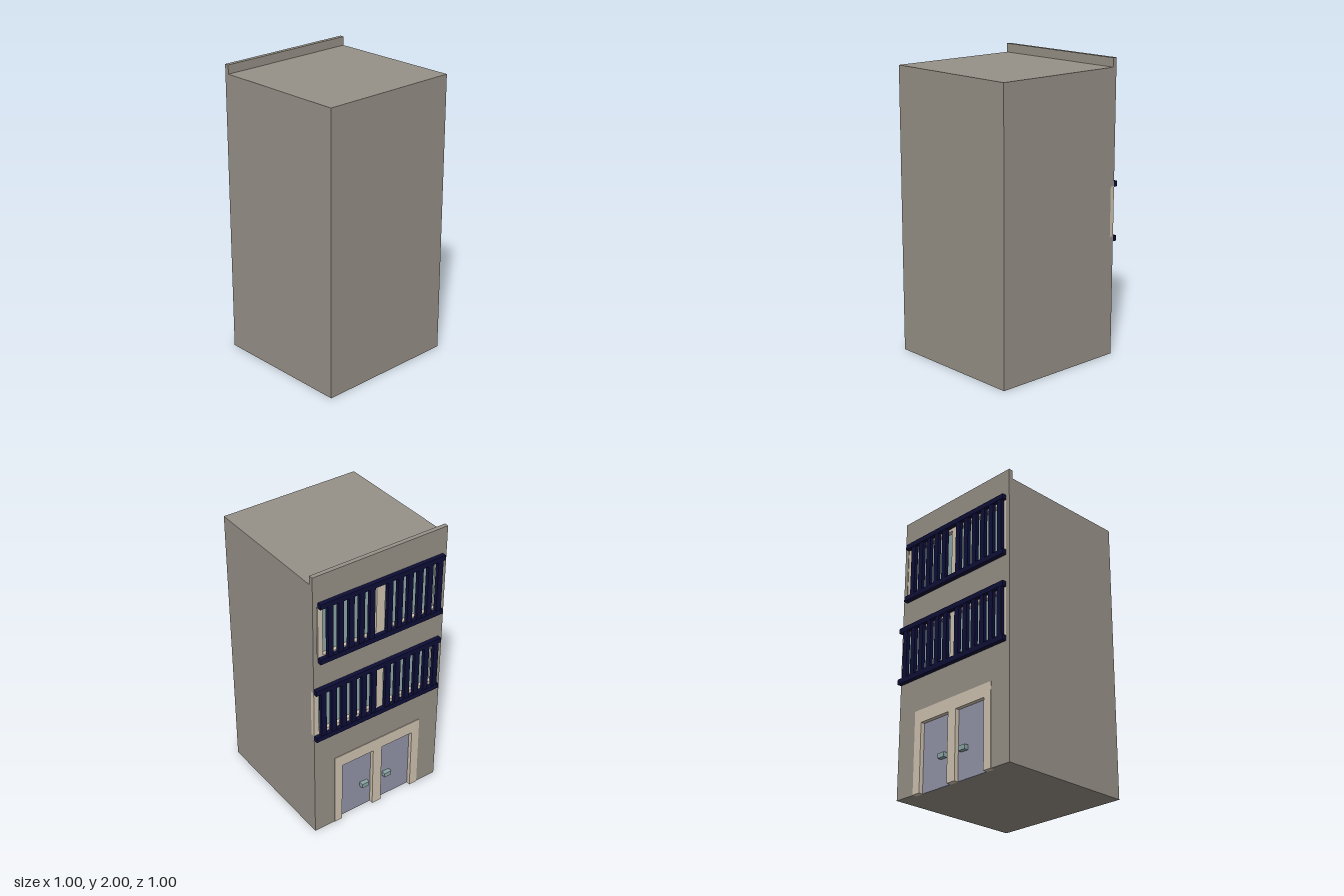
import * as THREE from 'three';

const BACK = -0.44;   // plane behind the facade slab
const FACE = -0.47;   // outer facade plane

function material(name, color) {
  const m = new THREE.MeshStandardMaterial({ color });
  m.name = name;
  return m;
}

const polygon = (pts, Type = THREE.Shape) => new Type(pts.map(([x, y]) => new THREE.Vector2(x, y)));
const rect = (x0, x1, y0, y1) => [[x0, y0], [x1, y0], [x1, y1], [x0, y1]];

// Upright slab with openings, running from z0 to z1
function slab(name, outline, holes, z0, z1, mat) {
  const shape = polygon(outline);
  shape.holes = holes.map((h) => polygon(h, THREE.Path));
  const geometry = new THREE.ExtrudeGeometry(shape, { depth: z1 - z0, bevelEnabled: false });
  geometry.translate(0, 0, z0);
  const mesh = new THREE.Mesh(geometry, mat);
  mesh.name = name;
  return mesh;
}

function box(name, x0, x1, y0, y1, z0, z1, mat) {
  const mesh = new THREE.Mesh(new THREE.BoxGeometry(x1 - x0, y1 - y0, z1 - z0), mat);
  mesh.position.set((x0 + x1) / 2, (y0 + y1) / 2, (z0 + z1) / 2);
  mesh.name = name;
  return mesh;
}

export function createModel() {
  const wall = material('wall grey', 0x979188);
  const trim = material('trim beige', 0xd0c3b1);
  const glass = material('glass teal', 0x8ba6a5);
  const paint = material('door lavender', 0x9394a8);
  const iron = material('railing navy', 0x0e0e38);

  const model = new THREE.Group();
  model.name = 'townhouse';

  // Plain block, and the facade slab that rises into a parapet
  model.add(box('buildingBlock', -0.5, 0.5, 0, 1.94, BACK, 0.5, wall));
  model.add(slab('facade', [
    [-0.5, 0], [-0.345, 0], [-0.345, 0.557], [0.345, 0.557], [0.345, 0], [0.5, 0],
    [0.5, 0.82], [-0.47, 0.82], [-0.47, 1.16], [0.5, 1.16], [0.5, 2], [-0.5, 2],
  ], [rect(-0.47, 0.47, 1.4, 1.785)], FACE, BACK, wall));

  // Window bands with a railing in front
  const floors = [
    { name: 'lower', x0: -0.47, x1: 0.5, y0: 0.82, y1: 1.16, rail0: 0.785, rail1: 1.19, leftStart: 0.057, leftBars: 6 },
    { name: 'upper', x0: -0.47, x1: 0.465, y0: 1.4, y1: 1.785, rail0: 1.38, rail1: 1.815, leftStart: 0.082, leftBars: 5 },
  ];
  for (const f of floors) {
    const group = new THREE.Group();
    group.name = f.name + 'Window';
    const side = 0.035, edge = 0.025, mullion = 0.032;
    group.add(slab('windowFrame', rect(f.x0, f.x1, f.y0, f.y1), [
      rect(f.x0 + side, -mullion, f.y0 + edge, f.y1 - edge),
      rect(mullion, f.x1 - side, f.y0 + edge, f.y1 - edge),
    ], FACE - 0.001, BACK, trim));
    group.add(box('windowGlass', f.x0 + 0.01, f.x1 - 0.01, f.y0 + 0.01, f.y1 - 0.01, BACK - 0.004, BACK + 0.002, glass));

    // Two rails and the upright bars
    const rail = 0.036;
    group.add(box('bottomRail', f.x0, f.x1, f.rail0, f.rail0 + rail, -0.5, FACE, iron));
    group.add(box('topRail', f.x0, f.x1, f.rail1 - rail, f.rail1, -0.5, FACE, iron));
    const bars = [];
    for (let i = 0; i < 6; i++) bars.push(-0.052 - 0.077 * i);
    for (let i = 0; i < f.leftBars; i++) bars.push(f.leftStart + 0.077 * i);
    for (const x of bars) {
      group.add(box('railingBar', x - 0.019, x + 0.019, f.rail0 + rail, f.rail1 - rail, -0.498, FACE - 0.002, iron));
    }
    model.add(group);
  }

  // Double doorway: surround, recessed doors and handles
  const entrance = new THREE.Group();
  entrance.name = 'entrance';
  entrance.add(slab('doorSurround', [
    [-0.345, 0], [-0.285, 0], [-0.285, 0.468], [-0.035, 0.468], [-0.035, 0], [0.035, 0],
    [0.035, 0.468], [0.285, 0.468], [0.285, 0], [0.345, 0], [0.345, 0.557], [-0.345, 0.557],
  ], [], FACE - 0.004, BACK, trim));
  for (const s of [-1, 1]) {
    const door = box('door', -0.125, 0.125, 0, 0.468, BACK - 0.005, BACK + 0.003, paint);
    door.position.x = s * 0.16;
    const handle = box('doorHandle', -0.028, 0.028, 0.182, 0.214, -0.475, BACK, glass);
    handle.position.x = s * 0.093;
    entrance.add(door, handle);
  }
  model.add(entrance);

  return model;
}
